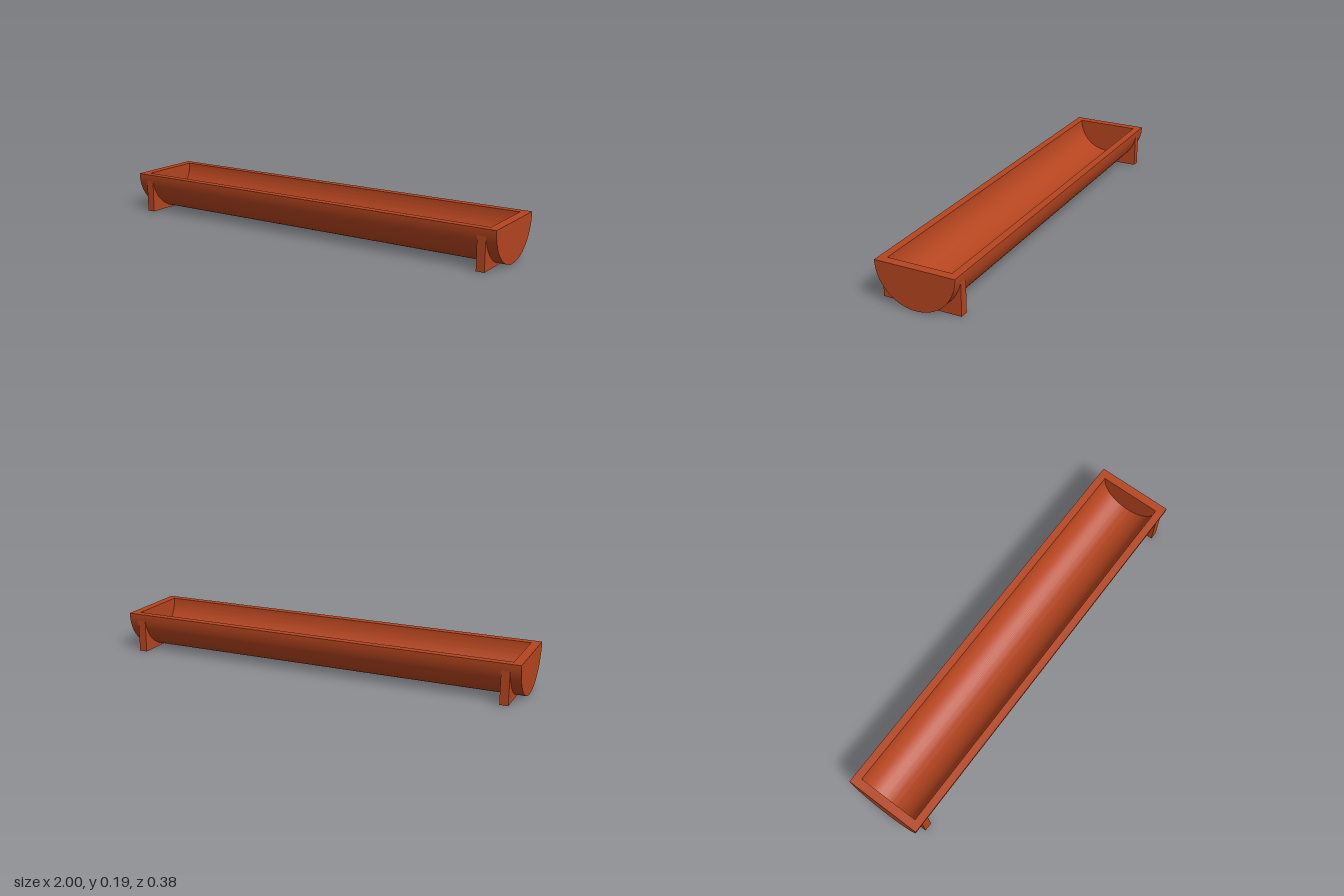
import * as THREE from 'three';
import { toCreasedNormals } from 'three/addons/utils/BufferGeometryUtils.js';

const R = 0.191;       // outer radius
const RIM_Y = 0.192;   // height of the rim, centre of the half round
const INNER = 0.154;   // hollow radius
const END = 0.042;     // end wall thickness
const FOOT_Z = 0.188;  // half depth of a foot
const SEGMENTS = 32;

export function createModel() {
  const group = new THREE.Group();
  group.name = 'trough';
  const material = new THREE.MeshStandardMaterial({ color: 0xb5451f });

  // Extrudes a cross-section (drawn in z, y) along x from x0
  function addPart(name, shape, x0, length) {
    let geometry = new THREE.ExtrudeGeometry(shape, {
      depth: length, bevelEnabled: false, curveSegments: SEGMENTS,
    });
    geometry.rotateY(Math.PI / 2);
    geometry.translate(x0, 0, 0);
    geometry = toCreasedNormals(geometry, Math.PI / 6);
    const mesh = new THREE.Mesh(geometry, material);
    mesh.name = name;
    group.add(mesh);
  }

  // Half-round channel
  const channel = new THREE.Shape();
  channel.moveTo(-R, RIM_Y);
  channel.absarc(0, RIM_Y, R, Math.PI, 2 * Math.PI, false);
  channel.lineTo(INNER, RIM_Y);
  channel.absarc(0, RIM_Y, INNER, 2 * Math.PI, Math.PI, true);
  channel.closePath();
  addPart('channel', channel, -1 + END, 2 - 2 * END);

  // Half-disc end wall
  const endWall = new THREE.Shape();
  endWall.moveTo(-R, RIM_Y);
  endWall.absarc(0, RIM_Y, R, Math.PI, 2 * Math.PI, false);
  endWall.closePath();

  // Cradle foot: a block cut out to the curve of the channel
  const a = Math.acos(FOOT_Z / R);
  const foot = new THREE.Shape();
  foot.moveTo(-FOOT_Z, 0);
  foot.lineTo(FOOT_Z, 0);
  foot.lineTo(FOOT_Z, RIM_Y - R * Math.sin(a));
  foot.absarc(0, RIM_Y, R, -a, -Math.PI + a, true);
  foot.closePath();

  for (const [side, s] of [['left', 1], ['right', -1]]) {
    addPart(side + 'EndWall', endWall, s > 0 ? 1 - END : -1, END);
    addPart(side + 'Foot', foot, s * 0.932 - 0.02, 0.04);
  }
  return group;
}
